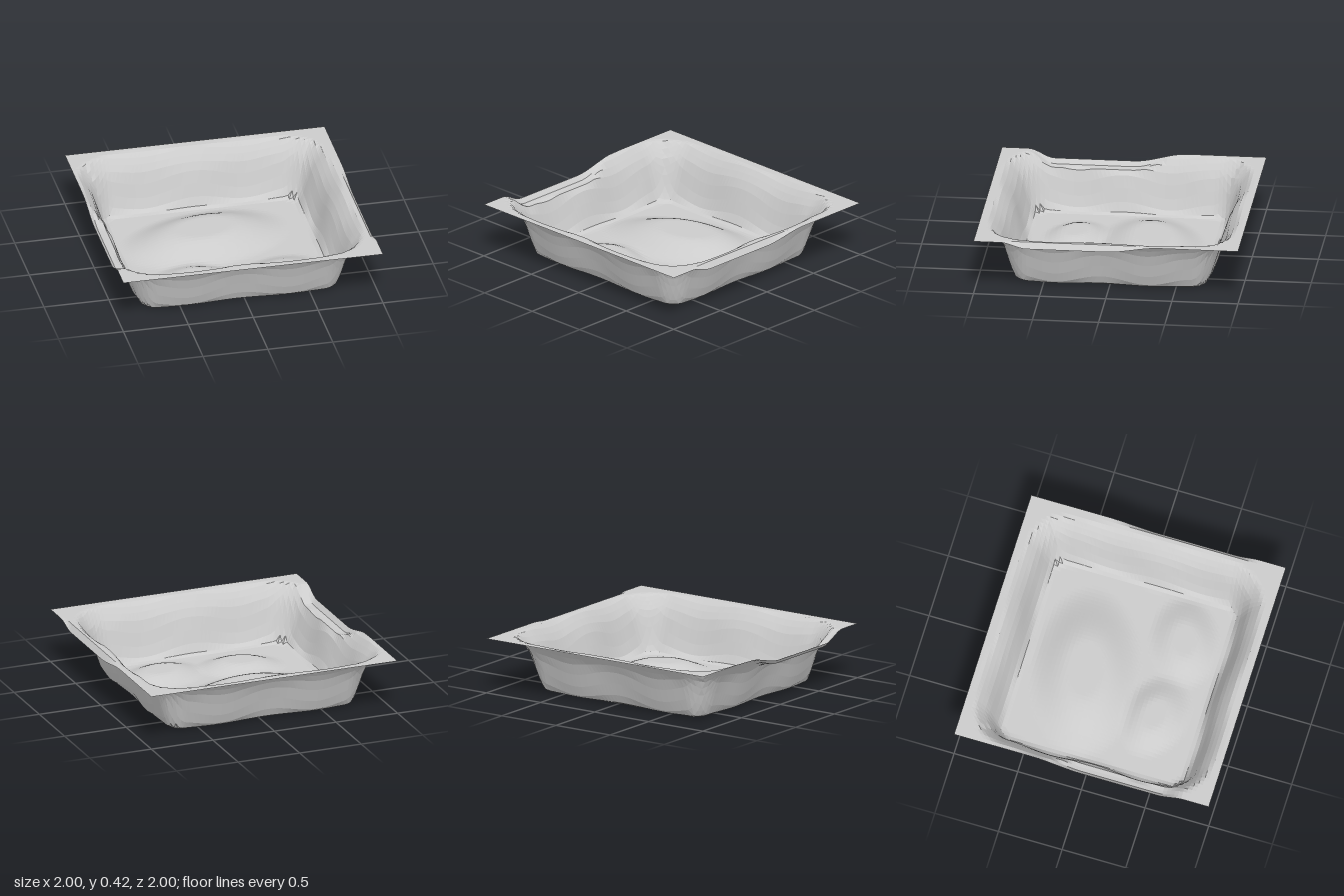
import * as THREE from 'three';

const RIM = 0.42;

// Wall profile: distance outward from the floor edge -> height
const WALL = [[-0.02, 0], [0.02, 0.02], [0.05, 0.09], [0.1, 0.25], [0.125, 0.31], [0.16, 0.36], [0.2, 0.41], [0.225, RIM]];

function wallHeight(d) {
  if (d <= WALL[0][0]) return 0;
  for (let i = 1; i < WALL.length; i++) {
    const [d0, h0] = WALL[i - 1], [d1, h1] = WALL[i];
    if (d < d1) return h0 + (h1 - h0) * (d - d0) / (d1 - d0);
  }
  return RIM;
}

// Signed distance to the rounded-square floor outline, with wavy sides
function floorDistance(x, z) {
  const r = 0.1;
  const px = Math.abs(x + 0.03) - 0.745 + r, pz = Math.abs(z) - 0.715 + r;
  const d = Math.hypot(Math.max(px, 0), Math.max(pz, 0)) + Math.min(Math.max(px, pz), 0) - r;
  const wave = px > pz ? Math.sin(z * 9 + 1) : Math.sin(x * 8 + 2);
  return d + 0.012 * wave;
}

// Smooth mound with a rounded top, elliptical and turned by angle a
function mound(x, z, cx, cz, rx, rz, a, h) {
  const dx = x - cx, dz = z - cz, c = Math.cos(a), s = Math.sin(a);
  const q = Math.hypot((dx * c + dz * s) / rx, (dz * c - dx * s) / rz);
  return h * (1 - THREE.MathUtils.smoothstep(q, 0.3, 1));
}

function height(x, z) {
  const { smoothstep, lerp } = THREE.MathUtils;
  const d = floorDistance(x, z);
  let y = wallHeight(d);

  // Uneven floor inside the walls
  const inside = smoothstep(-d, -0.02, 0.12);
  y += inside * (mound(x, z, -0.1, -0.24, 0.7, 0.43, -0.2, 0.11)
    + mound(x, z, -0.28, 0.36, 0.36, 0.26, 0.2, 0.06)
    + mound(x, z, 0.35, 0.4, 0.38, 0.28, -0.3, 0.06));

  // Sunken ledge along the left-hand rim, and a slight droop on the opposite edge
  const span = smoothstep(z, -0.4, 0) * (1 - smoothstep(z, 0.6, 0.8));
  if (x < -0.8) y = Math.min(y, lerp(RIM, 0.31 + 0.04 * smoothstep(-x, 0.96, 1), span));
  if (x > 0.97) y -= 0.045 * span * (x - 0.97) / 0.03;
  return y;
}

export function createModel() {
  const group = new THREE.Group();

  // Square sheet pressed into a shallow basin with a flat rim
  const geometry = new THREE.PlaneGeometry(2, 2, 64, 64);
  geometry.rotateX(-Math.PI / 2);
  const pos = geometry.attributes.position;
  for (let i = 0; i < pos.count; i++) pos.setY(i, height(pos.getX(i), pos.getZ(i)));
  geometry.computeVertexNormals();

  const basin = new THREE.Mesh(geometry, new THREE.MeshStandardMaterial({
    color: 0xcccccc, flatShading: true, side: THREE.DoubleSide,
  }));
  basin.name = 'basin';
  group.add(basin);
  return group;
}
